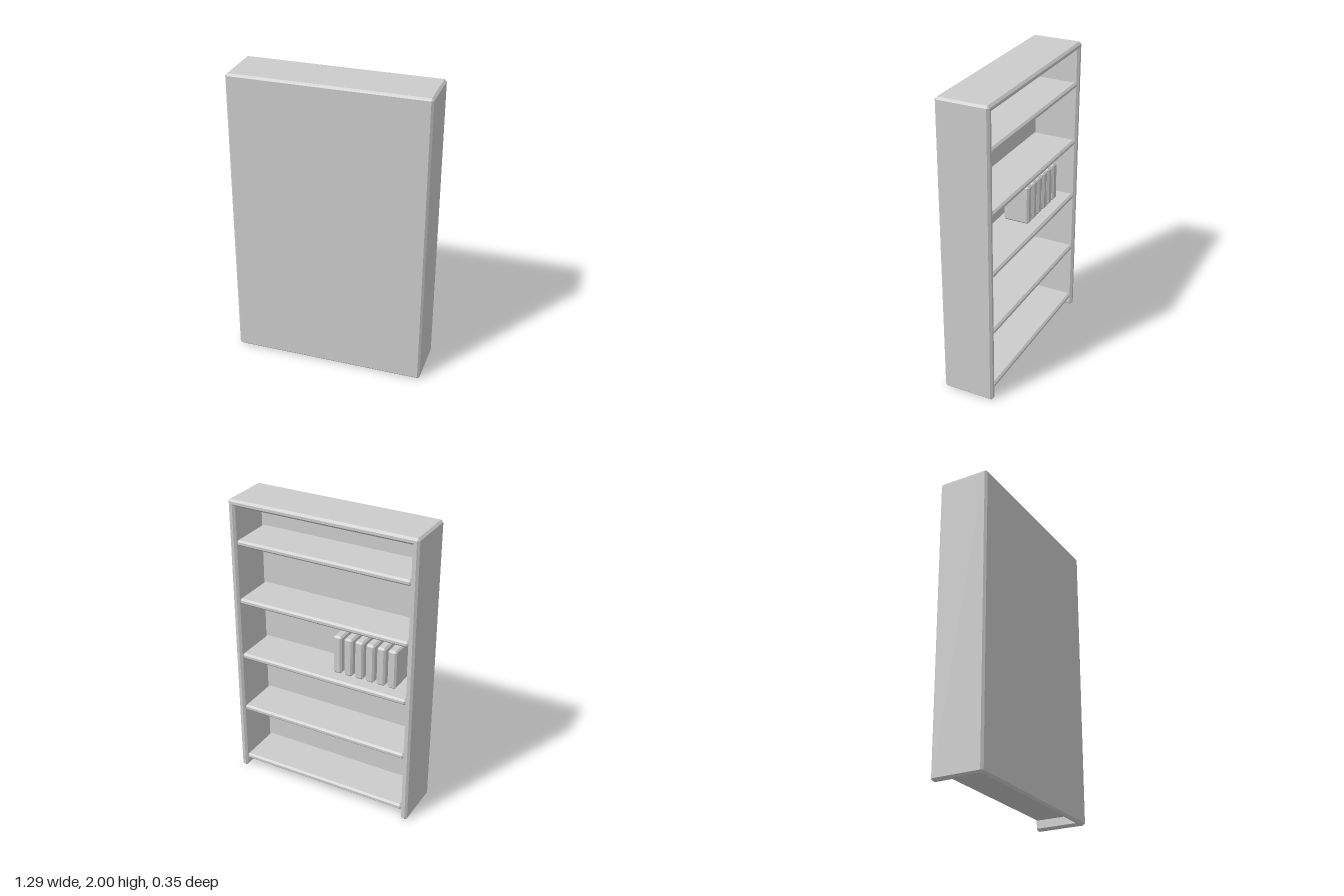
import * as THREE from 'three';
import { ConvexGeometry } from 'three/addons/geometries/ConvexGeometry.js';

const material = new THREE.MeshStandardMaterial({ color: 0xcccccc, flatShading: true });

// Box with every edge chamfered by c, spanning the two given corners
function chamferBox(name, min, max, c) {
  const half = max.map((v, i) => (v - min[i]) / 2);
  const points = [];
  for (const sx of [-1, 1]) for (const sy of [-1, 1]) for (const sz of [-1, 1]) {
    for (let axis = 0; axis < 3; axis++) {
      const p = [sx, sy, sz].map((s, i) => s * (half[i] - (i === axis ? 0 : c)));
      points.push(new THREE.Vector3(...p));
    }
  }
  const mesh = new THREE.Mesh(new ConvexGeometry(points), material);
  mesh.position.set(...max.map((v, i) => (v + min[i]) / 2));
  mesh.name = name;
  return mesh;
}

export function createModel() {
  const group = new THREE.Group();
  group.name = 'bookcase';
  const W = 0.646, H = 2, D = 0.173, T = 0.045, C = 0.014;

  // Carcass: two sides, a top and one closed face; open towards -z and at the bottom
  group.add(chamferBox('leftSide', [W - T, 0, -D], [W, H, D], C));
  group.add(chamferBox('rightSide', [-W, 0, -D], [-W + T, H, D], C));
  group.add(chamferBox('topPanel', [-W, H - T, -D], [W, H, D], C));
  group.add(chamferBox('closedPanel', [-W, 0, D - 0.04], [W, H, D], C));

  // Five evenly spaced shelves
  const shelfY = (i) => 0.085 + 0.407 * i;
  for (let i = 0; i < 5; i++) {
    const y = shelfY(i);
    group.add(chamferBox('shelf', [-W + T, y - 0.02, -0.165], [W - T, y + 0.02, D - 0.025], 0.012));
  }

  // Row of six books on the middle shelf
  const books = new THREE.Group();
  books.name = 'books';
  const base = shelfY(2) + 0.02;
  for (let i = 0; i < 6; i++) {
    const x = -0.046 - 0.077 * i;
    books.add(chamferBox('book', [x - 0.06, base, -0.085], [x, base + 0.27, 0.095], 0.012));
  }
  group.add(books);
  return group;
}
